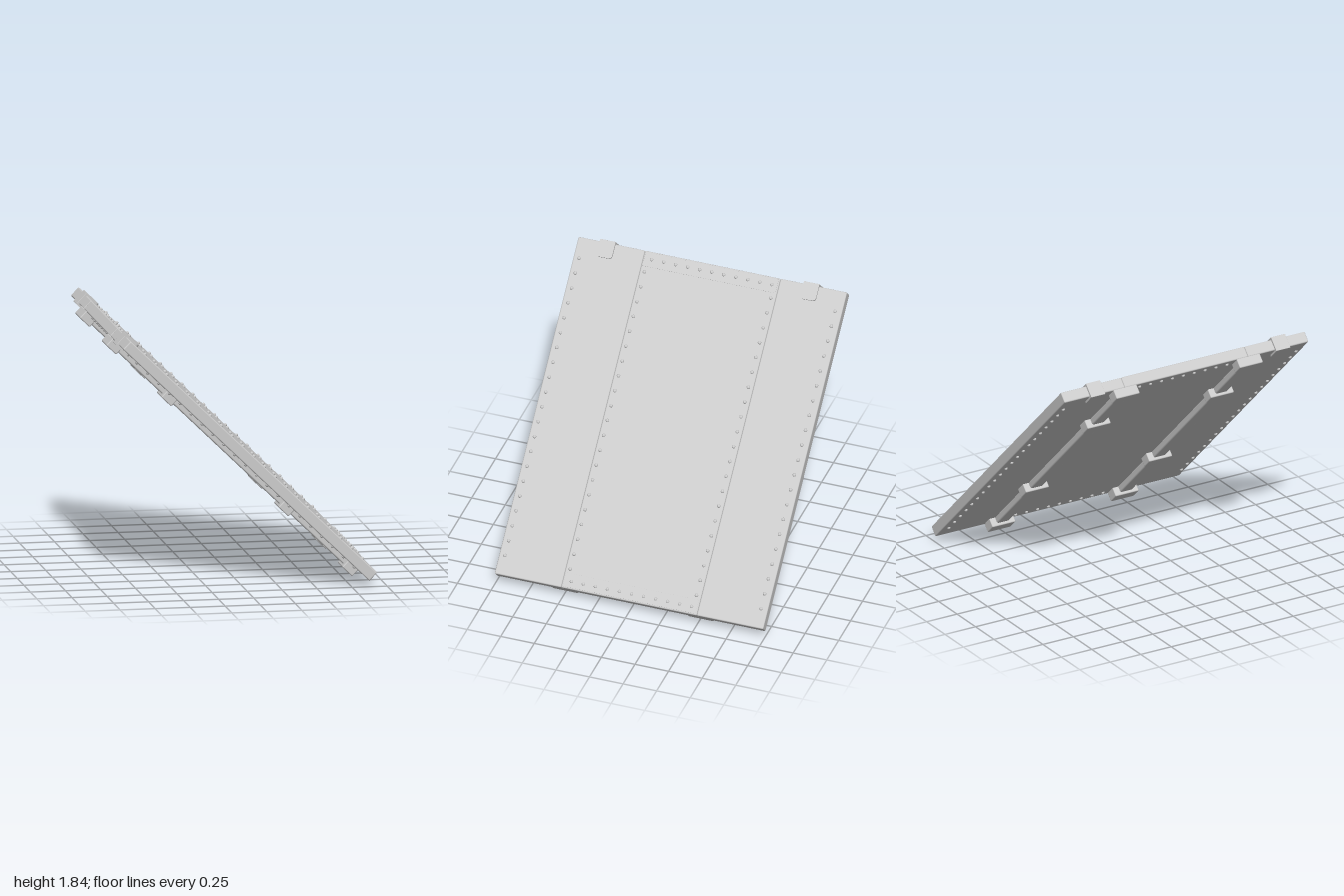
import * as THREE from 'three';
import { RoundedBoxGeometry } from 'three/addons/geometries/RoundedBoxGeometry.js';

const material = new THREE.MeshStandardMaterial({ color: 0xcccccc });
const HALF = 1.23;   // half length along the slope
const THICK = 0.08;  // panel thickness

// Box given by its limits along the slope (x), across the face (y) and sideways (z)
function block(parent, name, [x0, x1], [y0, y1], [z0, z1], radius = 0.006) {
  const geometry = new RoundedBoxGeometry(x1 - x0, y1 - y0, z1 - z0, 2, radius);
  const mesh = new THREE.Mesh(geometry, material);
  mesh.name = name;
  mesh.position.set((x0 + x1) / 2, (y0 + y1) / 2, (z0 + z1) / 2);
  parent.add(mesh);
  return mesh;
}

// Domed rivets in a straight row; side = 1 on the upper face, -1 underneath
function rivetRow(parent, name, from, to, count, side = 1) {
  const dome = new THREE.SphereGeometry(0.013, 10, 4, 0, Math.PI * 2, 0, Math.PI / 2);
  const row = new THREE.InstancedMesh(dome, material, 0);
  const group = new THREE.Group();
  group.name = name;
  for (let i = 0; i < count; i++) {
    const t = i / (count - 1);
    const rivet = new THREE.Mesh(row.geometry, material);
    rivet.name = 'rivet';
    rivet.position.set(
      THREE.MathUtils.lerp(from[0], to[0], t),
      side > 0 ? 0 : -THICK,
      THREE.MathUtils.lerp(from[1], to[1], t));
    if (side < 0) rivet.rotation.x = Math.PI;
    group.add(rivet);
  }
  parent.add(group);
}

// C-shaped clip that wraps the upper end; its tongues have rounded tips
function clip(parent, z) {
  const group = new THREE.Group();
  group.name = 'endClip';
  const w = 0.115, len = 0.125, r = 0.025;
  const s = new THREE.Shape();
  s.moveTo(0, -w / 2);
  s.lineTo(len - r, -w / 2);
  s.quadraticCurveTo(len, -w / 2, len, -w / 2 + r);
  s.lineTo(len, w / 2 - r);
  s.quadraticCurveTo(len, w / 2, len - r, w / 2);
  s.lineTo(0, w / 2);
  const tongue = new THREE.ExtrudeGeometry(s, { depth: 0.015, bevelEnabled: false, curveSegments: 6 });
  tongue.rotateX(-Math.PI / 2);
  for (const y of [-0.001, -THICK - 0.014]) {
    const mesh = new THREE.Mesh(tongue, material);
    mesh.name = 'clipTongue';
    mesh.position.set(-HALF - 0.014, y, z);
    group.add(mesh);
  }
  block(group, 'clipBack', [-HALF - 0.015, -HALF + 0.005], [-THICK - 0.014, 0.014],
    [z - w / 2, z + w / 2], 0.003);
  parent.add(group);
}

export function createModel() {
  const model = new THREE.Group();
  model.name = 'slopedPanel';
  const ramp = new THREE.Group();
  ramp.name = 'panelAssembly';
  ramp.position.set(0.05, 0.95, 0);
  ramp.rotation.z = -0.774;
  model.add(ramp);

  // Three long panels with fine seams, and a core that closes the seams
  const seam = 0.505;
  for (const [name, z] of [['leftPanel', [seam, 1]], ['middlePanel', [-seam, seam]], ['rightPanel', [-1, -seam]]])
    block(ramp, name, [-HALF, HALF], [-THICK, 0], z, 0.009);
  block(ramp, 'core', [-HALF + 0.01, HALF - 0.01], [-THICK + 0.01, -0.01], [-0.98, 0.98]);

  // Thin cover strips across both ends of the middle panel
  for (const s of [-1, 1]) {
    const x = [s * (HALF - 0.01), s * 1.12].sort((a, b) => a - b);
    block(ramp, 'coverStrip', x, [-0.004, 0.002], [-0.495, 0.495], 0.001);
  }

  // Rivet rows along the slope on both faces
  for (const z of [-0.95, -0.47, 0.47, 0.957])
    for (const side of [1, -1])
      rivetRow(ramp, 'lengthwiseRivets', [-1.08, z], [1.09, z], 21, side);
  // Rivet rows across the ends of the middle panel
  for (const x of [-1.175, 1.175])
    for (const side of [1, -1])
      rivetRow(ramp, 'crosswiseRivets', [x, -0.455], [x, 0.44], 11, side);

  // Underside rails with four bracket pads each
  for (const z of [-0.505, 0.505]) {
    block(ramp, 'rail', [-1.2, 1.2], [-0.125, -THICK + 0.005], [z - 0.05, z + 0.05], 0.012);
    for (const x of [-1.18, -0.63, 0.54, 1.176])
      block(ramp, 'bracketPad', [x - 0.05, x + 0.05], [-0.145, -THICK + 0.005], [z - 0.095, z + 0.095], 0.008);
  }

  // Clips at the upper end
  clip(ramp, 0.78);
  clip(ramp, -0.737);

  return model;
}
